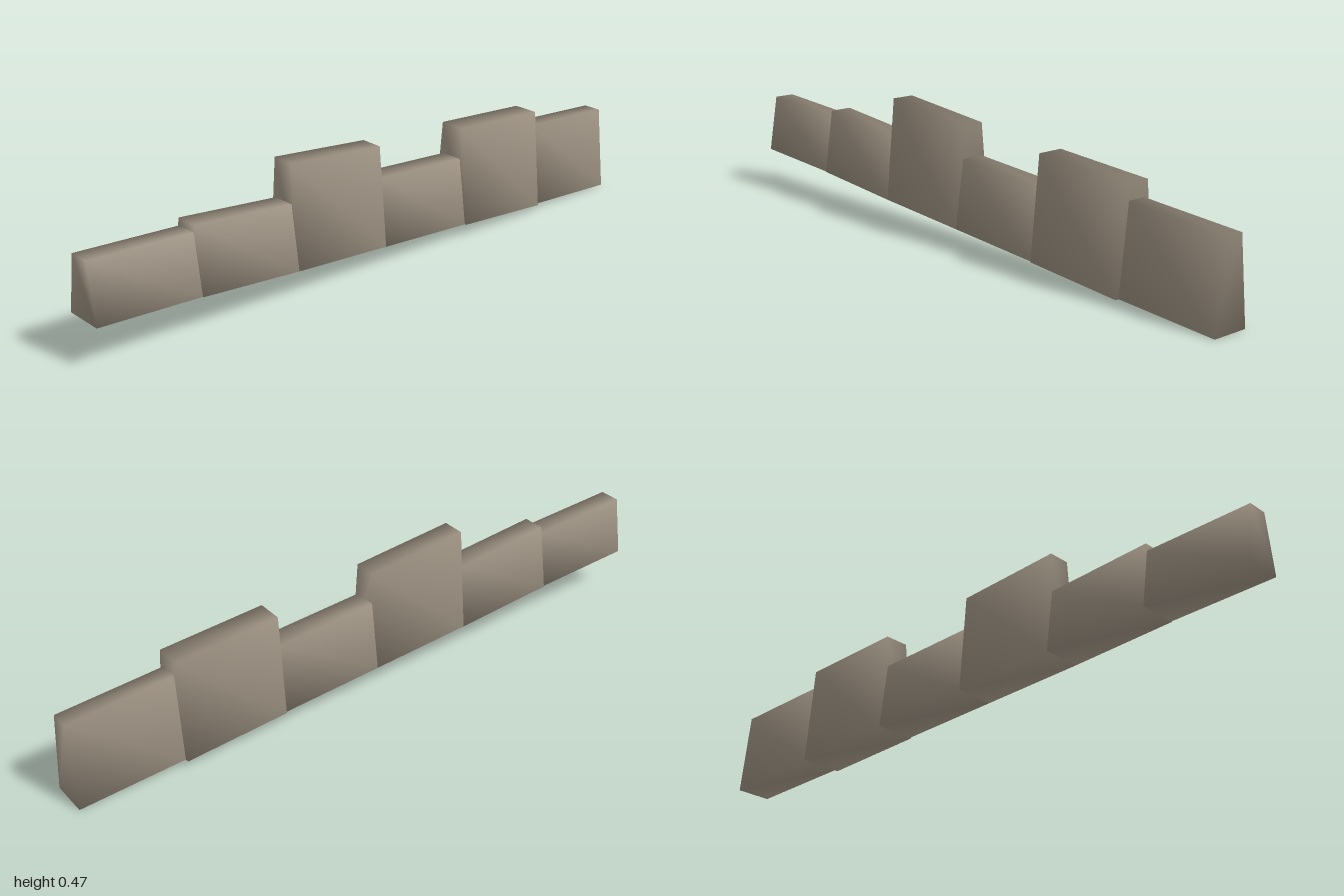
import * as THREE from 'three';

// Direction of the row and its sideways (front) direction on the ground
const along = new THREE.Vector2(0.847, -0.531);
const side = new THREE.Vector2(0.531, 0.847);
const PITCH = 0.379;

// start / end: bottom and top heights at each end of the stone
const stones = [
  { start: [0.15, 0.355], end: [0.13, 0.335], width: 0.143 },
  { start: [0.13, 0.36], end: [0.10, 0.325], width: 0.15 },
  { start: [0.10, 0.465], end: [0.075, 0.43], width: 0.15 },
  { start: [0.075, 0.315], end: [0.05, 0.29], width: 0.15 },
  { start: [0.05, 0.405], end: [0.022, 0.38], width: 0.162 },
  { start: [0.022, 0.325], end: [0, 0.30], width: 0.135 },
];

// Tapered block made from two cross-sections, with shared corners for soft shading
function blockGeometry(s0, s1, { start, end, width }) {
  const half = width / 2, top = half - 0.034;
  const positions = [];
  for (const [s, [low, high]] of [[s0, start], [s1, end]]) {
    // bottom front, bottom back, top back, top front
    for (const [v, y] of [[half, low], [-half, low], [-top, high], [top, high]]) {
      positions.push(along.x * s + side.x * v, y, along.y * s + side.y * v);
    }
  }
  const index = [0, 3, 2, 0, 2, 1, 4, 5, 6, 4, 6, 7];
  for (let i = 0; i < 4; i++) {
    const j = (i + 1) % 4;
    index.push(i, j, j + 4, i, j + 4, i + 4);
  }
  const geometry = new THREE.BufferGeometry();
  geometry.setAttribute('position', new THREE.Float32BufferAttribute(positions, 3));
  geometry.setIndex(index);
  geometry.computeVertexNormals();
  return geometry;
}

export function createModel() {
  const group = new THREE.Group();
  group.name = 'stoneEdging';
  const stone = new THREE.MeshStandardMaterial({ color: 0x9a8f80 });
  stone.name = 'warm grey stone';

  // Row of edging stones following a gentle slope
  stones.forEach((spec, i) => {
    const s0 = (i - stones.length / 2) * PITCH;
    const mesh = new THREE.Mesh(blockGeometry(s0, s0 + PITCH, spec), stone);
    mesh.name = `edgingStone${i + 1}`;
    group.add(mesh);
  });
  return group;
}
